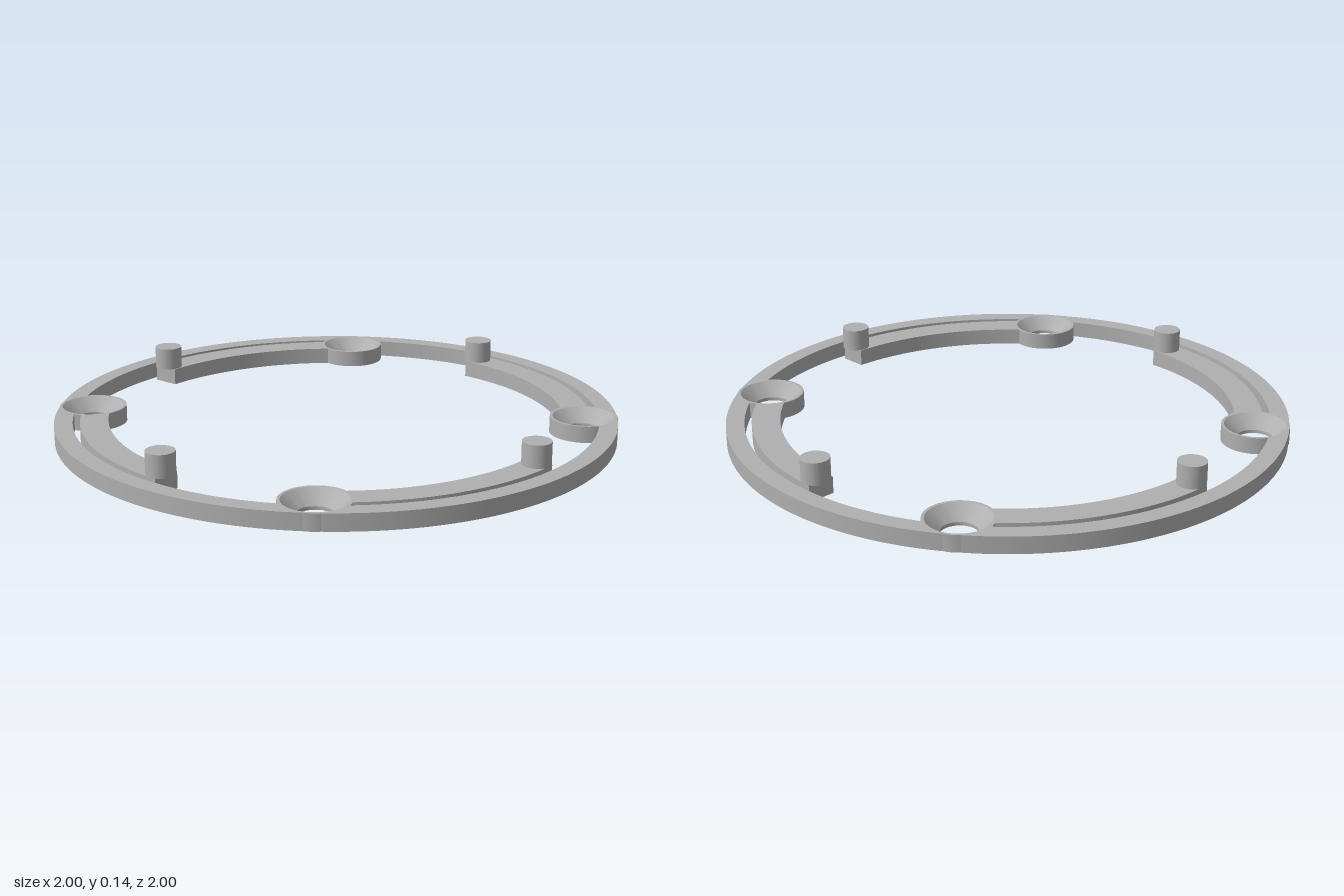
import * as THREE from 'three';
import { toCreasedNormals } from 'three/addons/utils/BufferGeometryUtils.js';

const HEIGHT = 0.06;
const BOSS_DIST = 0.883, BOSS_R = 0.12, CUT_R = 0.118;
const RING_OUT = 1, RING_IN = 0.935, ARM_OUT = 0.91, ARM_IN = 0.81;
const A0 = Math.PI / 4, A1 = 3 * Math.PI / 4;
const ARM_END = THREE.MathUtils.degToRad(99.9);
const PEG_ANGLE = THREE.MathUtils.degToRad(98.5);

// where a circle of radius R about the origin meets the boss circle:
// a = angle about the origin, b = angle about the boss centre
function meet(R) {
  const a = Math.acos((R * R + BOSS_DIST ** 2 - CUT_R ** 2) / (2 * R * BOSS_DIST));
  return { a, b: Math.atan2(R * Math.sin(a), R * Math.cos(a) - BOSS_DIST) };
}

function bossArc(shape, at, from, to) {
  shape.absarc(BOSS_DIST * Math.cos(at), BOSS_DIST * Math.sin(at), CUT_R, from, to, true);
}

function plate(shape) {
  const geo = new THREE.ExtrudeGeometry(shape, { depth: HEIGHT, bevelEnabled: false, curveSegments: 40 });
  geo.rotateX(-Math.PI / 2);
  return toCreasedNormals(geo, 0.5);
}

// quarter of the outer ring, with ends hugging the two bosses
function ringGeometry() {
  const o = meet(RING_OUT), i = meet(RING_IN);
  const s = new THREE.Shape();
  s.absarc(0, 0, RING_OUT, A0 + o.a, A1 - o.a, false);
  bossArc(s, A1, A1 - o.b, A1 - i.b);
  s.absarc(0, 0, RING_IN, A1 - i.a, A0 + i.a, true);
  bossArc(s, A0, A0 + i.b, A0 + o.b);
  return plate(s);
}

// curved spring arm growing from one boss
function armGeometry() {
  const o = meet(ARM_OUT), i = meet(ARM_IN);
  const s = new THREE.Shape();
  s.absarc(0, 0, ARM_OUT, A0 + o.a, ARM_END, false);
  s.absarc(0, 0, ARM_IN, ARM_END, A0 + i.a, true);
  bossArc(s, A0, A0 + i.b, A0 + o.b);
  return plate(s);
}

// screw boss with a countersunk hole
function bossGeometry() {
  const profile = [[0.062, 0], [BOSS_R, 0], [BOSS_R, HEIGHT], [0.11, HEIGHT], [0.062, 0.012], [0.062, 0]];
  const geo = new THREE.LatheGeometry(profile.map(([r, y]) => new THREE.Vector2(r, y)), 48);
  return toCreasedNormals(geo, 0.5);
}

export function createModel() {
  const grey = new THREE.MeshStandardMaterial({ color: 0xb0b0b0 });
  grey.name = 'plain grey';
  const group = new THREE.Group();
  group.name = 'mountingRing';

  const ring = ringGeometry(), arm = armGeometry(), boss = bossGeometry();
  const peg = new THREE.CylinderGeometry(0.05, 0.05, 0.08, 32);

  // the same quarter, four times round
  for (let k = 0; k < 4; k++) {
    const quarter = new THREE.Group();
    quarter.name = 'quarter' + (k + 1);
    quarter.rotation.y = k * Math.PI / 2;
    const add = (name, geo, angle = 0, dist = 0, y = 0) => {
      const mesh = new THREE.Mesh(geo, grey);
      mesh.name = name;
      mesh.position.set(dist * Math.cos(angle), y, -dist * Math.sin(angle));
      quarter.add(mesh);
    };
    add('ringSegment', ring);
    add('springArm', arm);
    add('screwBoss', boss, A0, BOSS_DIST);
    add('peg', peg, PEG_ANGLE, 0.863, HEIGHT + 0.04);
    group.add(quarter);
  }
  return group;
}
